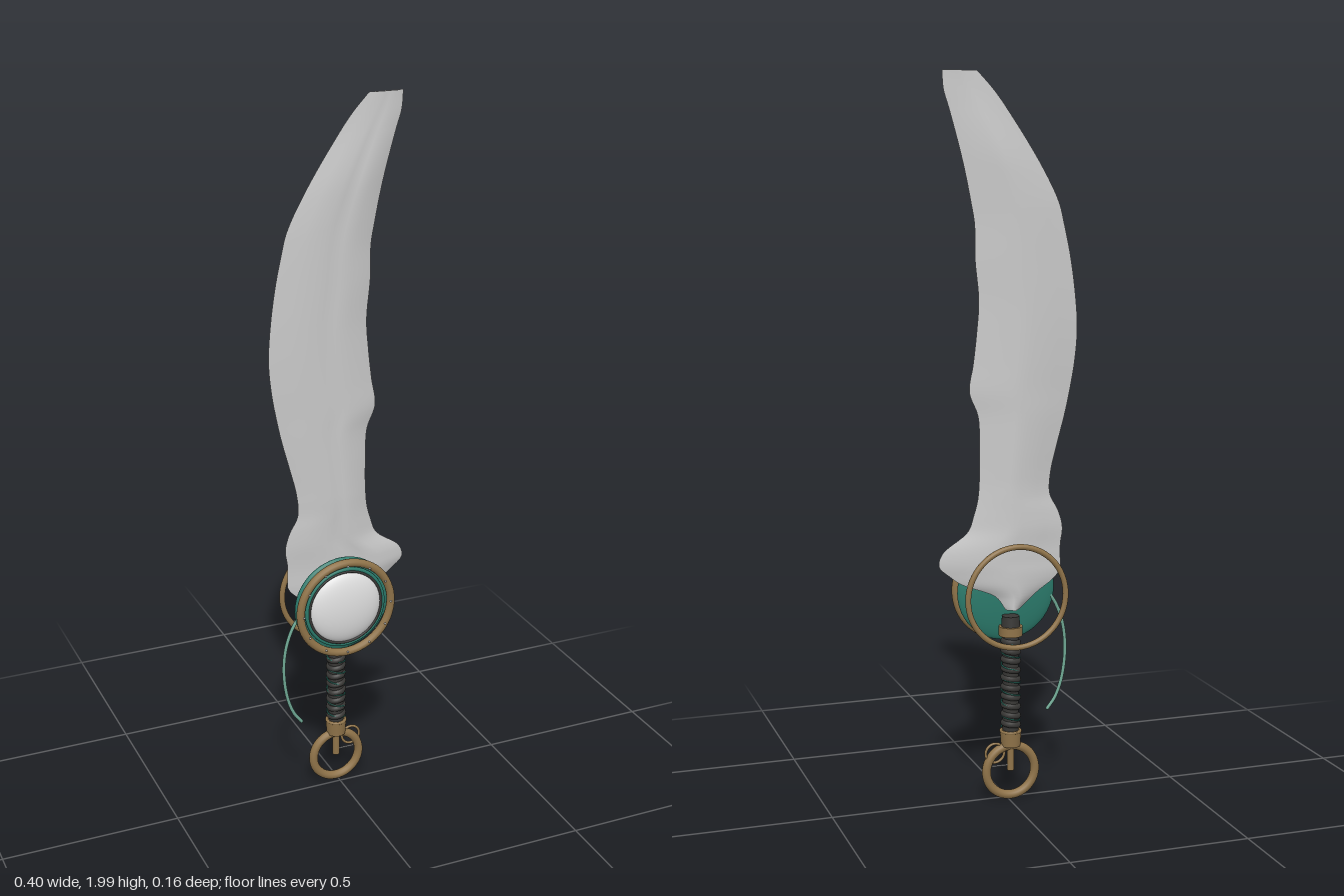
import * as THREE from 'three';

const mat = (name, color, side = THREE.FrontSide) => {
  const m = new THREE.MeshStandardMaterial({ color, side });
  m.name = name;
  return m;
};

// Blade outline from base to tip: [y, left x, right x]
const OUTLINE = [
  [0.55, -0.035, 0.01], [0.59, -0.08, 0.04], [0.63, -0.135, 0.135], [0.655, -0.152, 0.17],
  [0.685, -0.152, 0.2], [0.72, -0.152, 0.19], [0.775, -0.158, 0.118], [0.82, -0.145, 0.1],
  [0.865, -0.122, 0.088], [0.93, -0.125, 0.083], [1.0, -0.142, 0.083], [1.09, -0.166, 0.087],
  [1.155, -0.18, 0.111], [1.23, -0.193, 0.1], [1.315, -0.2, 0.09], [1.4, -0.195, 0.084],
  [1.51, -0.18, 0.094], [1.6, -0.161, 0.095], [1.66, -0.145, 0.105], [1.765, -0.09, 0.127],
  [1.9, 0.0, 0.163], [1.95, 0.038, 0.178], [2.0, 0.085, 0.182],
];
// Cross-sections: [fraction across, z]
const FRONT = [[0, -0.009], [0.2, -0.001], [0.42, 0.005], [0.52, -0.001], [0.65, 0.0], [0.78, 0.003], [1, -0.017]];
const BACK = [[0, -0.009], [0.2, -0.02], [0.45, -0.034], [0.6, -0.031], [0.8, -0.026], [1, -0.017]];

function bladeFace(section, front) {
  const curve = new THREE.CatmullRomCurve3(OUTLINE.map(([y, l, r]) => new THREE.Vector3(l, y, r)));
  const rows = 110, n = section.length, pos = [], idx = [];
  for (let i = 0; i <= rows; i++) {
    const p = curve.getPoint(i / rows);
    const thick = 1 - 0.8 * THREE.MathUtils.smoothstep(p.y, 1.75, 2.0);
    const shift = p.y < 0.9 ? -0.005 : 0;
    for (const [u, z] of section) pos.push(p.x + (p.z - p.x) * u, p.y, -0.013 + (z + 0.013) * thick + shift * Math.min(1, (0.9 - p.y) * 5));
  }
  for (let i = 0; i < rows; i++) for (let j = 0; j < n - 1; j++) {
    const a = i * n + j, b = a + 1, c = a + n, d = c + 1;
    idx.push(...(front ? [a, b, d, a, d, c] : [a, d, b, a, c, d]));
  }
  const g = new THREE.BufferGeometry();
  g.setAttribute('position', new THREE.Float32BufferAttribute(pos, 3));
  g.setIndex(idx);
  g.computeVertexNormals();
  return g;
}

export function createModel() {
  const root = new THREE.Group();
  root.name = 'curvedSword';
  const steel = mat('steel', 0xc9c9c9, THREE.DoubleSide);
  const pearl = mat('pearl', 0xdedede);
  const bronze = mat('bronze', 0x8f7349);
  const teal = mat('teal', 0x2b7a6b);
  const paleTeal = mat('paleTeal', 0x6fa894);
  const leather = mat('darkLeather', 0x383735);
  const CX = -0.006, HZ = -0.017;

  const add = (name, geo, material, x = 0, y = 0, z = 0, parent = root) => {
    const m = new THREE.Mesh(geo, material);
    m.name = name;
    m.position.set(x, y, z);
    parent.add(m);
    return m;
  };
  const ring = (r, t, arc = Math.PI * 2) => new THREE.TorusGeometry(r, t, 12, 64, arc);
  const rod = (r, h, r2 = r) => new THREE.CylinderGeometry(r2, r, h, 24);

  // Blade
  const blade = new THREE.Group();
  blade.name = 'blade';
  root.add(blade);
  add('bladeFront', bladeFace(FRONT, true), steel, 0, 0, 0, blade);
  add('bladeBack', bladeFace(BACK, false), steel, 0, 0, 0, blade);

  // Round guard with a pearl boss, rims and beads
  const guard = new THREE.Group();
  guard.name = 'guard';
  guard.position.set(CX, 0.596, 0);
  root.add(guard);
  add('guardDisc', new THREE.SphereGeometry(0.141, 48, 24), teal, 0, 0, 0.024, guard).scale.z = 0.17;
  add('guardRim', ring(0.136, 0.0115), bronze, 0, 0, 0.055, guard);
  add('bossSeat', ring(0.114, 0.006), teal, 0, 0, 0.048, guard);
  add('bossEdge', ring(0.108, 0.004), leather, 0, 0, 0.051, guard);
  add('boss', new THREE.SphereGeometry(0.107, 48, 24), pearl, 0, 0, 0.045, guard).scale.z = 0.31;
  const bead = new THREE.SphereGeometry(0.003, 8, 6);
  for (let i = 0; i < 12; i++) {
    const a = (i / 12) * Math.PI * 2;
    add('rimBead', bead, pearl, 0.131 * Math.cos(a), 0.131 * Math.sin(a), 0.069, guard);
  }
  add('backRing', ring(0.14, 0.008), bronze, 0, 0, -0.073, guard);

  // Grip with wrapped coils
  const grip = new THREE.Group();
  grip.name = 'grip';
  grip.position.set(CX, 0, HZ);
  root.add(grip);
  add('gripCore', rod(0.022, 0.33), leather, 0, 0.355, 0, grip);
  for (let i = 0; i < 10; i++) {
    const coil = add('gripWrap', new THREE.TorusGeometry(0.02, 0.009, 8, 28), leather, 0, 0.225 + i * 0.026, 0, grip);
    coil.rotation.set(Math.PI / 2, 0.15, 0);
  }
  const helix = [];
  for (let i = 0; i <= 120; i++) {
    const t = i / 120, a = t * 14 * Math.PI;
    helix.push(new THREE.Vector3(0.026 * Math.cos(a), 0.215 + t * 0.25, 0.026 * Math.sin(a)));
  }
  add('gripCord', new THREE.TubeGeometry(new THREE.CatmullRomCurve3(helix), 240, 0.002, 6), teal, 0, 0, 0, grip);
  add('topPlug', rod(0.028, 0.05, 0.024), leather, 0, 0.507, 0, grip);
  add('topCollar', rod(0.033, 0.026), bronze, 0, 0.49, 0, grip);
  add('bottomCollar', rod(0.027, 0.045, 0.03), bronze, 0, 0.184, 0, grip);
  const lip = add('collarLip', ring(0.027, 0.004), bronze, 0, 0.204, 0, grip);
  lip.rotation.x = Math.PI / 2;

  // Pommel ring with its stem, small link and pin
  const pommel = new THREE.Group();
  pommel.name = 'pommel';
  pommel.position.set(CX, 0.09, HZ);
  root.add(pommel);
  add('pommelRing', ring(0.071, 0.0125), bronze, 0, 0, 0, pommel);
  add('pommelStem', rod(0.01, 0.075), bronze, 0, 0.038, 0, pommel);
  add('pommelLink', ring(0.027, 0.004), bronze, 0.046, 0.053, 0, pommel);
  add('pommelPin', rod(0.002, 0.045), steel, 0.032, 0.015, 0, pommel).rotation.z = Math.PI / 2;

  // Hanging cord
  const cord = new THREE.CatmullRomCurve3([[-0.125, 0.585], [-0.15, 0.55], [-0.172, 0.49], [-0.18, 0.415],
    [-0.17, 0.33], [-0.15, 0.275], [-0.128, 0.245]].map(([x, y]) => new THREE.Vector3(x, y, 0.02)));
  add('hangingCord', new THREE.TubeGeometry(cord, 48, 0.005, 8), paleTeal);
  const ends = new THREE.SphereGeometry(0.005, 8, 6);
  add('cordEnd', ends, paleTeal, -0.128, 0.245, 0.02);
  return root;
}
